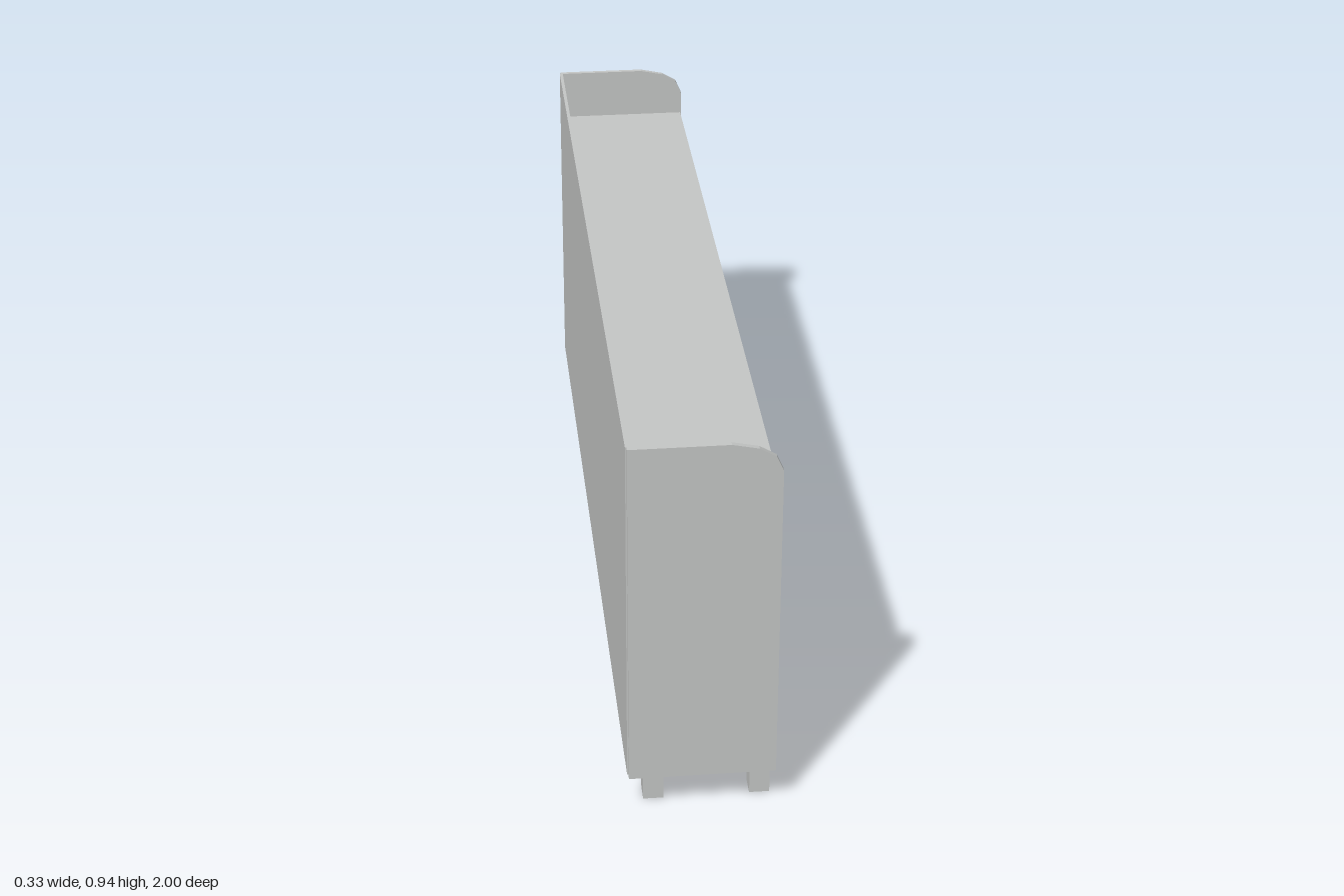
import * as THREE from 'three';

export function createModel() {
  const model = new THREE.Group();
  const panelGrey = new THREE.MeshStandardMaterial({ color: 0xc6c8c7 });
  panelGrey.name = 'panelGrey';
  const handleGrey = new THREE.MeshStandardMaterial({ color: 0x676767 });
  handleGrey.name = 'handleGrey';

  // box given by its min and max on each axis
  function box(name, [x0, x1], [y0, y1], [z0, z1], material = panelGrey) {
    const mesh = new THREE.Mesh(new THREE.BoxGeometry(x1 - x0, y1 - y0, z1 - z0), material);
    mesh.position.set((x0 + x1) / 2, (y0 + y1) / 2, (z0 + z1) / 2);
    mesh.name = name;
    model.add(mesh);
  }

  // end panels with a faceted rounded corner above the drawers
  const profile = new THREE.Shape([
    [-0.16, 0.103], [0.163, 0.103], [0.163, 0.868], [0.148, 0.902],
    [0.112, 0.923], [0.055, 0.935], [-0.16, 0.935],
  ].map(([x, y]) => new THREE.Vector2(x, y)));
  const thickness = 0.011;
  const endGeometry = new THREE.ExtrudeGeometry(profile, { depth: thickness, bevelEnabled: false });
  for (const [name, z] of [['leftEndPanel', -1], ['rightEndPanel', 1 - thickness]]) {
    const panel = new THREE.Mesh(endGeometry, panelGrey);
    panel.name = name;
    panel.position.z = z;
    model.add(panel);
  }

  // carcass boards
  const inner = [-0.989, 0.989];
  box('backPanel', [-0.163, -0.155], [0.107, 0.935], inner);
  box('topShelf', [-0.155, 0.161], [0.801, 0.811], inner);
  box('middleShelf', [-0.155, 0.142], [0.44, 0.46], inner);
  box('floorPanel', [-0.155, 0.146], [0.108, 0.118], inner);
  box('topRail', [0.13, 0.142], [0.78, 0.801], inner);

  // drawer fronts, each with two dark pulls
  for (const [name, y0, y1, pullY] of [['lower', 0.108, 0.445, 0.392], ['upper', 0.455, 0.791, 0.727]]) {
    box(name + 'DrawerFront', [0.146, 0.157], [y0, y1], [-0.986, 0.984]);
    for (const z of [-0.919, 0.919]) {
      box(name + 'DrawerPull', [0.157, 0.158], [pullY - 0.014, pullY + 0.014], [z - 0.023, z + 0.023], handleGrey);
    }
  }

  // square feet
  for (const x of [-0.101, 0.136]) {
    for (const z of [-0.91, 0.917]) {
      box('foot', [x - 0.0225, x + 0.0225], [0, 0.108], [z - 0.0225, z + 0.0225]);
    }
  }
  return model;
}
